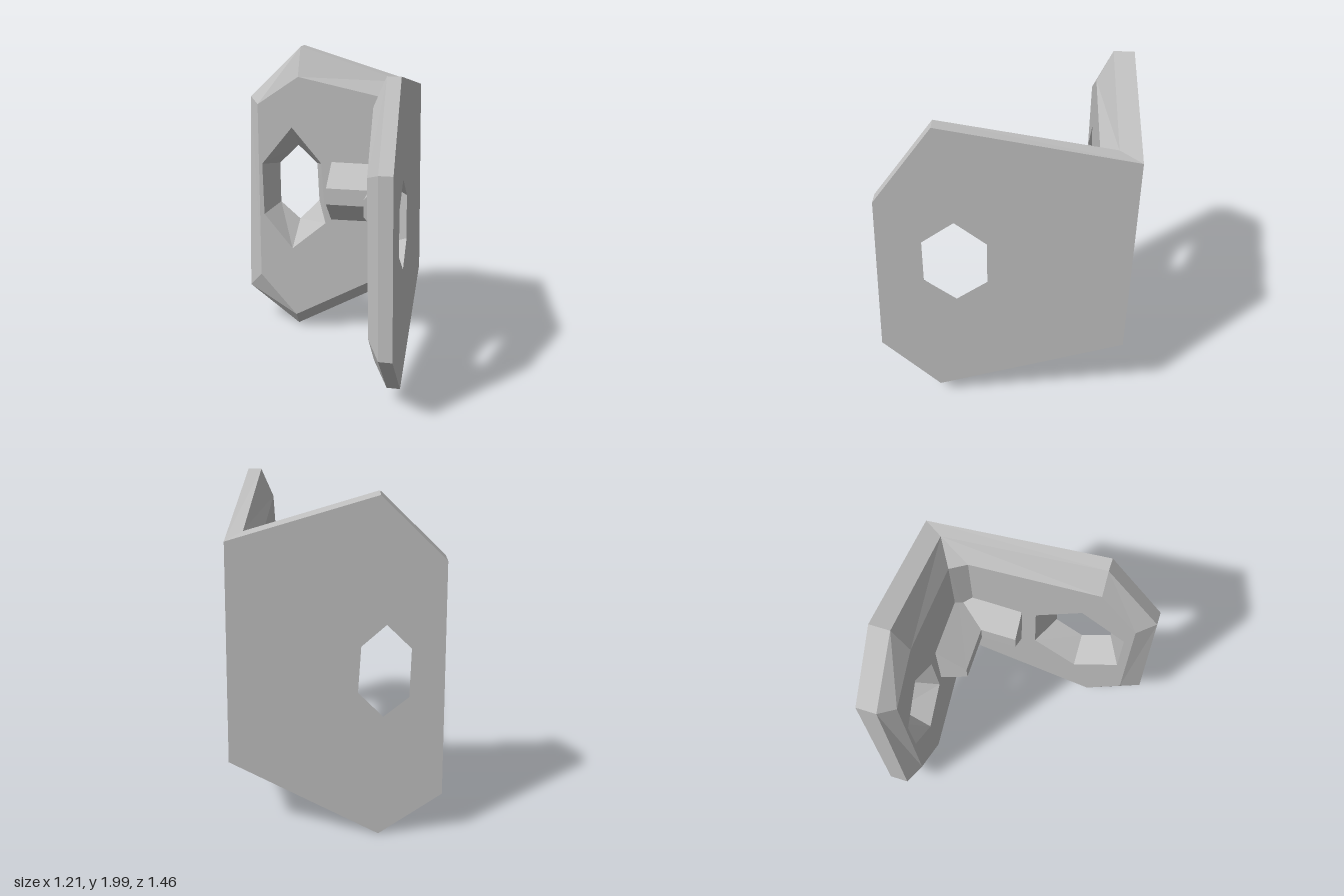
import * as THREE from 'three';

const V = (x, y, z) => new THREE.Vector3(x, y, z);
const centreOf = (pts) => pts.reduce((s, p) => s.add(p), V(0, 0, 0)).divideScalar(pts.length);

// Collects flat faces; each is wound to face away from a reference point
class Faces {
  constructor() { this.data = []; }
  tri(a, b, c, ref, inward = false) {
    const n = b.clone().sub(a).cross(c.clone().sub(a));
    const out = centreOf([a, b, c]).sub(ref).dot(n) > 0;
    const order = out !== inward ? [a, b, c] : [a, c, b];
    order.forEach((p) => this.data.push(p.x, p.y, p.z));
  }
  quad(a, b, c, d, ref, inward) {
    this.tri(a, b, c, ref, inward);
    this.tri(a, c, d, ref, inward);
  }
  mesh(name, material) {
    const g = new THREE.BufferGeometry();
    g.setAttribute('position', new THREE.Float32BufferAttribute(this.data, 3));
    g.computeVertexNormals();
    const m = new THREE.Mesh(g, material);
    m.name = name;
    return m;
  }
}

// Plate with a straight rim, a chamfer and a flared hexagonal hole.
// Loops start and end at the shared corner, where no rim is needed.
function plate(name, material, flat, outer, mid, inner, holeOuter, holeInner) {
  const f = new Faces();
  const ref = centreOf(mid);
  const cap = (loop, hole) => {
    const all = [...loop, ...hole];
    THREE.ShapeUtils.triangulateShape(loop.map(flat), [hole.map(flat)])
      .forEach(([a, b, c]) => f.tri(all[a], all[b], all[c], ref));
  };
  cap(outer, holeOuter);
  cap(inner, holeInner);
  for (let i = 0; i < outer.length - 1; i++) {
    f.quad(outer[i], outer[i + 1], mid[i + 1], mid[i], ref);
    f.quad(mid[i], mid[i + 1], inner[i + 1], inner[i], ref);
  }
  const holeRef = centreOf([...holeOuter, ...holeInner]);
  holeOuter.forEach((p, i) => {
    const j = (i + 1) % holeOuter.length;
    f.quad(p, holeOuter[j], holeInner[j], holeInner[i], holeRef, true);
  });
  return f.mesh(name, material);
}

export function createModel() {
  const group = new THREE.Group();
  group.name = 'cornerBracket';
  const grey = new THREE.MeshStandardMaterial({ color: 0xc0c0c0 });
  grey.name = 'grey';

  // Back plate: (x, y) loops at three depths
  const atZ = (z, pts) => pts.map(([x, y]) => V(x, y, z));
  const backRim = [[-0.23, 2], [-0.58, 1.66], [-0.61, 0.28], [-0.25, 0.01]];
  const backOuter = atZ(-0.73, [[0.565, 1.76], ...backRim, [0.6, 0.48]]);
  const backMid = atZ(-0.61, [[0.48, 1.785], ...backRim, [0.516, 0.437]]);
  const backInner = atZ(-0.525, [[0.345, 1.69], [-0.23, 1.81], [-0.51, 1.62],
    [-0.505, 0.4], [-0.25, 0.11], [0.38, 0.46]]);
  const backHoleOuter = atZ(-0.73, [[-0.275, 1.31], [-0.41, 1.175], [-0.405, 0.89],
    [-0.265, 0.77], [-0.125, 0.915], [-0.14, 1.185]]);
  const backHoleInner = atZ(-0.525, [[-0.275, 1.47], [-0.485, 1.21], [-0.475, 0.85],
    [-0.275, 0.61], [-0.04, 0.81], [-0.07, 1.23]]);
  group.add(plate('backPlate', grey, (p) => new THREE.Vector2(p.x, p.y),
    backOuter, backMid, backInner, backHoleOuter, backHoleInner));

  // Side plate: (z, y) loops on slightly leaning planes
  const lean = (depth, pts) => pts.map(([z, y]) =>
    V(0.613 - 0.027 * y - 0.011 * (z + 0.73) - depth, y, z));
  const sideRim = [[0.355, 1.94], [0.695, 1.47], [0.73, 0.43], [0.385, 0.09]];
  const sideOuter = [backOuter[0], ...lean(0, sideRim), backOuter[5]];
  const sideMid = [backMid[0], ...lean(0.08, sideRim), backMid[5]];
  const sideInner = lean(0.155, [[-0.43, 1.68], [0.355, 1.77], [0.59, 1.43],
    [0.6, 0.5], [0.38, 0.26], [-0.43, 0.46]]);
  const sideHoleOuter = lean(0, [[0.26, 1.35], [0.445, 1.21], [0.445, 0.94],
    [0.26, 0.805], [0.08, 0.94], [0.08, 1.21]]);
  const sideHoleInner = lean(0.155, [[0.26, 1.49], [0.54, 1.26], [0.54, 0.86],
    [0.26, 0.64], [-0.02, 0.86], [-0.02, 1.26]]);
  group.add(plate('sidePlate', grey, (p) => new THREE.Vector2(p.z, p.y),
    sideOuter, sideMid, sideInner, sideHoleOuter, sideHoleInner));

  // Bevel in the inside corner
  const bevel = new Faces();
  const cornerRef = V(0.6, 1.1, -0.73);
  bevel.quad(backInner[0], sideInner[0], sideInner[5], backInner[5], cornerRef);
  for (const i of [0, 5]) bevel.tri(backMid[i], backInner[i], sideInner[i], cornerRef);
  group.add(bevel.mesh('cornerBevel', grey));

  // Tapered rib wrapping the inside corner: [wall x, wall z, crest x, crest z]
  const rib = new Faces();
  const ribRef = V(0.42, 1.05, -0.53);
  const rings = [[0, -0.525, 0, -0.335], [0.42, -0.53, 0.285, -0.335], [0.42, -0.11, 0.285, -0.11]]
    .map(([wx, wz, cx, cz]) =>
      [V(wx, 0.84, wz), V(cx, 1.0, cz), V(cx, 1.11, cz), V(wx, 1.245, wz)]);
  for (let r = 0; r < 2; r++) {
    for (let i = 0; i < 3; i++) {
      rib.quad(rings[r][i], rings[r + 1][i], rings[r + 1][i + 1], rings[r][i + 1], ribRef);
    }
  }
  rib.quad(...rings[0], ribRef);
  rib.quad(...rings[2], ribRef);
  group.add(rib.mesh('cornerRib', grey));

  return group;
}
